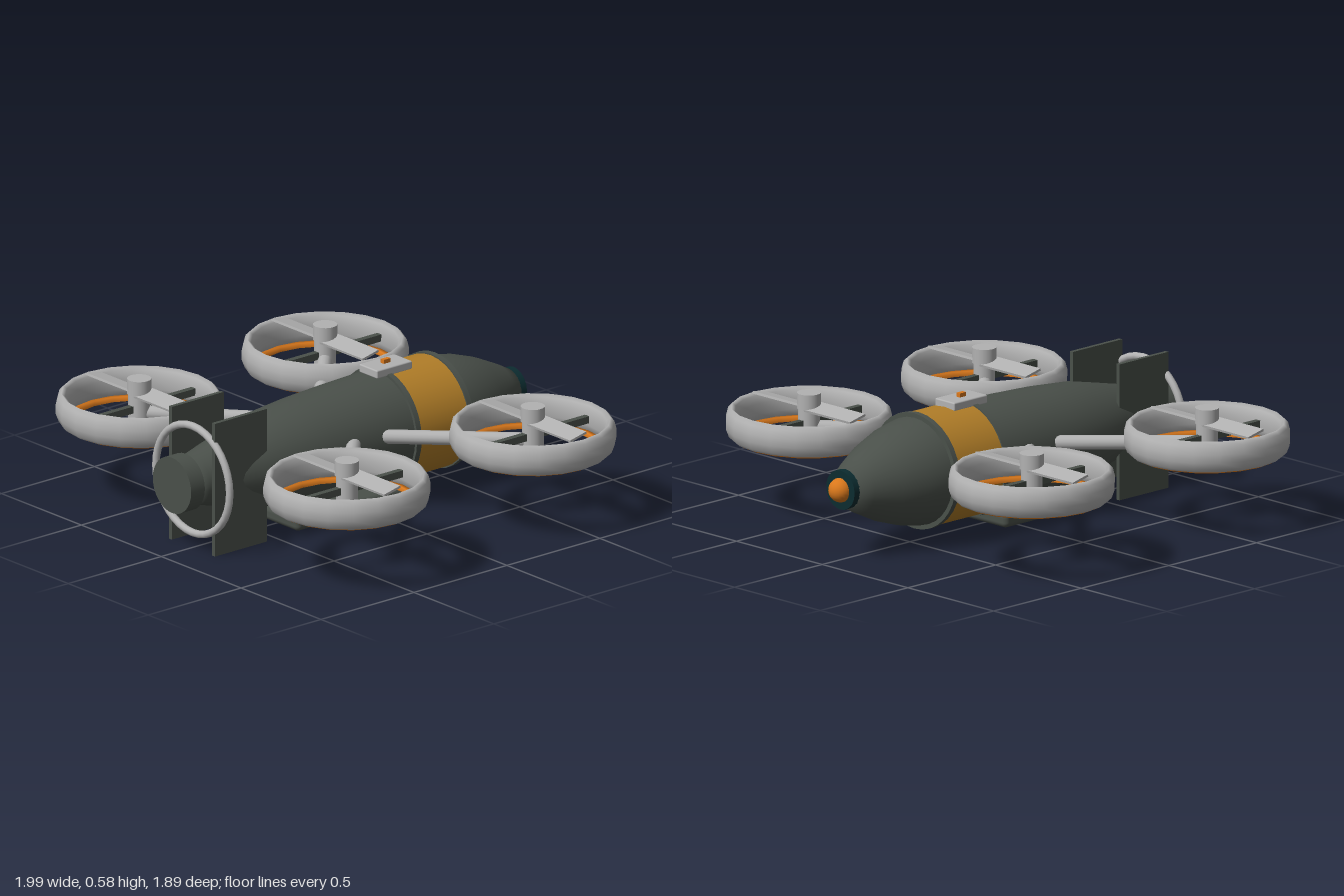
import * as THREE from 'three';
import { RoundedBoxGeometry } from 'three/addons/geometries/RoundedBoxGeometry.js';

const paint = (name, color) => {
  const m = new THREE.MeshStandardMaterial({ color });
  m.name = name;
  return m;
};

export function createModel() {
  const model = new THREE.Group();
  model.name = 'bombDrone';
  const hull = paint('hullGreen', 0x4a504a);
  const grey = paint('lightGrey', 0xb2b2b2);
  const ochre = paint('ochreBand', 0xb27e28);
  const orange = paint('orange', 0xd9781c);
  const teal = paint('darkTeal', 0x0c2c30);
  const AXIS = 0.297;

  const add = (parent, name, geo, mat, x = 0, y = 0, z = 0) => {
    const m = new THREE.Mesh(geo, mat);
    m.name = name;
    m.position.set(x, y, z);
    parent.add(m);
    return m;
  };
  const box = (w, h, d) => new THREE.BoxGeometry(w, h, d);
  const lathe = (pts, n) => new THREE.LatheGeometry(pts.map(p => new THREE.Vector2(...p)), n);
  // Disc or drum lying along the fuselage axis
  const drum = (r, z0, z1, n = 32) =>
    new THREE.CylinderGeometry(r, r, z1 - z0, n).rotateX(Math.PI / 2).translate(0, 0, (z0 + z1) / 2);

  // Fuselage, profile given as radius and z from nose to tail
  const profile = [[0, -0.88], [0.075, -0.88], [0.115, -0.81], [0.168, -0.7], [0.205, -0.59], [0.224, -0.49],
    [0.23, -0.4], [0.232, -0.15], [0.226, 0.05], [0.217, 0.25], [0.2, 0.44], [0.168, 0.58], [0.135, 0.72],
    [0.108, 0.83], [0.1, 0.88], [0, 0.88]];
  add(model, 'fuselage', lathe(profile, 32).rotateX(Math.PI / 2), hull, 0, AXIS);
  add(model, 'warningBand', drum(0.238, -0.45, -0.19), ochre, 0, AXIS);
  add(model, 'frontBandRing', drum(0.244, -0.475, -0.45), hull, 0, AXIS);
  add(model, 'rearBandRing', drum(0.244, -0.192, -0.167), hull, 0, AXIS);
  add(model, 'noseCollar', drum(0.083, -0.896, -0.858, 20), teal, 0, AXIS);
  add(model, 'noseTip', new THREE.SphereGeometry(0.051, 20, 14), orange, 0, AXIS, -0.895);
  add(model, 'tailNozzle', drum(0.12, 0.868, 0.942), hull, 0, AXIS);

  // Tail fins and ring
  for (const s of [-1, 1]) add(model, 'tailFin', box(0.018, 0.575, 0.28), hull, s * 0.135, 0.2895, 0.695);
  add(model, 'tailRing', new THREE.TorusGeometry(0.231, 0.016, 10, 36), grey, 0, AXIS, 0.83);

  // Belly pack and dorsal sensor
  add(model, 'bellyPack', new RoundedBoxGeometry(0.385, 0.062, 0.575, 3, 0.022), hull, 0, 0.055, 0.145);
  add(model, 'sensorBox', new RoundedBoxGeometry(0.114, 0.036, 0.19, 2, 0.006), grey, 0, 0.543, -0.207);
  add(model, 'sensorLight', box(0.02, 0.03, 0.036), orange, 0, 0.563, -0.207);

  // Ducted rotor, built around its own vertical axis
  const ductProfile = [[0.316, 0.305], [0.33, 0.318], [0.342, 0.35], [0.343, 0.385], [0.334, 0.42], [0.318, 0.436],
    [0.303, 0.424], [0.293, 0.39], [0.292, 0.345], [0.301, 0.315], [0.316, 0.305]];
  const rimProfile = [[0.28, 0.297], [0.3, 0.297], [0.3, 0.318], [0.28, 0.318], [0.28, 0.297]];
  const makeRotor = () => {
    const g = new THREE.Group();
    g.name = 'ductedRotor';
    add(g, 'duct', lathe(ductProfile, 20), grey);
    add(g, 'ductRim', lathe(rimProfile, 20), orange);
    add(g, 'ductStrut', box(0.026, 0.03, 0.6), hull, 0, 0.37, 0);
    add(g, 'motor', new THREE.CylinderGeometry(0.045, 0.045, 0.13, 20), grey, 0, 0.37, 0);
    add(g, 'hub', new THREE.CylinderGeometry(0.05, 0.05, 0.065, 20), grey, 0, 0.462, 0);
    for (const s of [-1, 1]) {
      add(g, 'blade', box(0.285, 0.01, 0.088), grey, s * 0.1425, 0.437, 0).rotation.x = s * 0.22;
    }
    return g;
  };

  // Four rotors, each on a slanted arm
  const up = new THREE.Vector3(0, 1, 0);
  for (const s of [-1, 1]) {
    for (const [z, root] of [[-0.44, 0], [0.56, 0.12]]) {
      const rotor = makeRotor();
      rotor.position.set(s * 0.65, 0, z);
      model.add(rotor);
      const a = new THREE.Vector3(s * 0.18, 0.338, root);
      const dir = new THREE.Vector3(s * 0.65, 0.348, z).sub(a);
      const arm = add(model, 'rotorArm', new THREE.CylinderGeometry(0.03, 0.03, dir.length(), 14), grey);
      arm.position.copy(a).addScaledVector(dir, 0.5);
      arm.quaternion.setFromUnitVectors(up, dir.normalize());
    }
  }
  return model;
}
